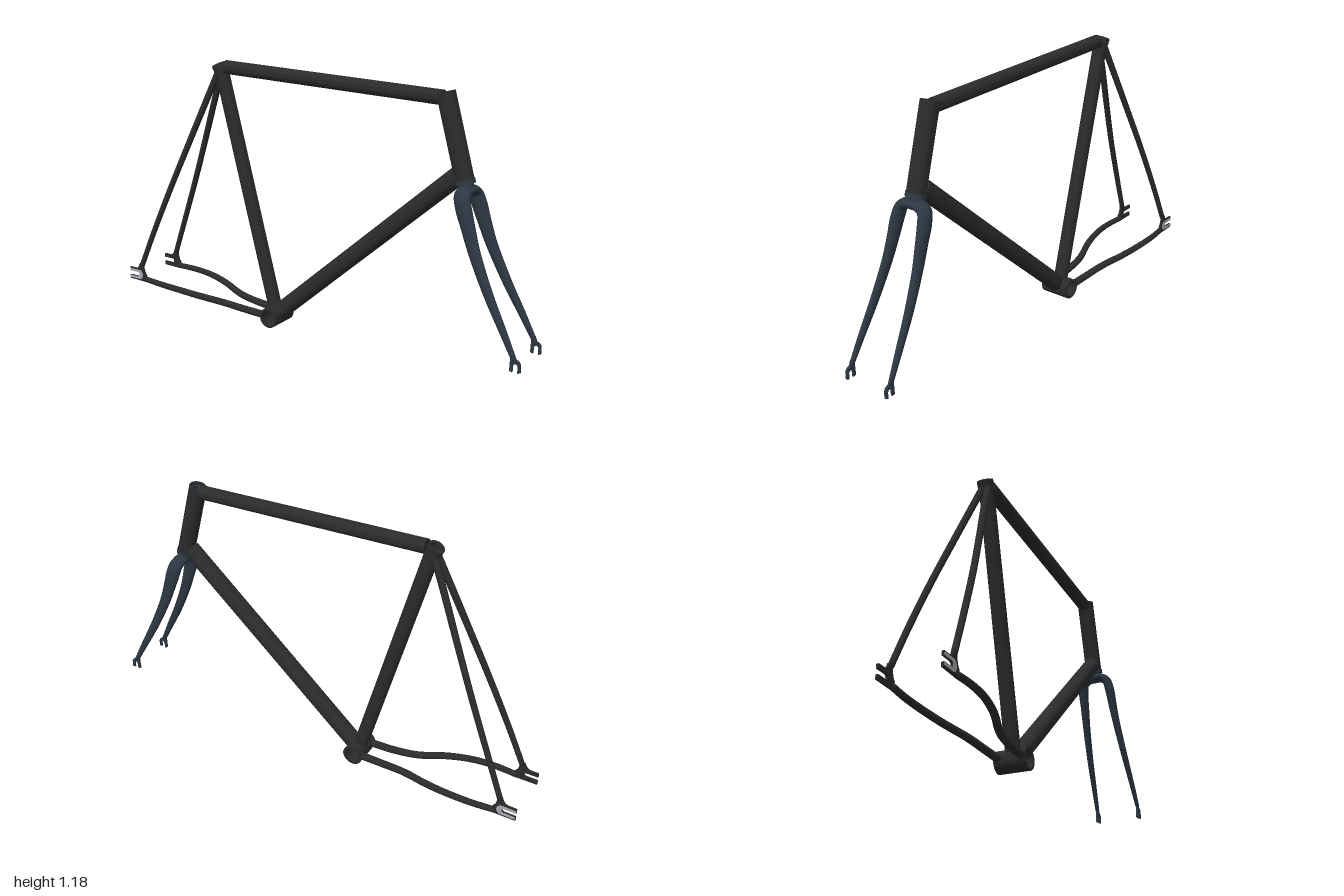
import * as THREE from 'three';
import { toCreasedNormals } from 'three/addons/utils/BufferGeometryUtils.js';

const V = (x, y, z = 0) => new THREE.Vector3(x, y, z);
const frameMat = new THREE.MeshStandardMaterial({ color: 0x2b2b2d, side: THREE.DoubleSide });
const forkMat = new THREE.MeshStandardMaterial({ color: 0x2d3743, side: THREE.DoubleSide });
const steelMat = new THREE.MeshStandardMaterial({ color: 0xa8a8ae });

export function createModel() {
  const model = new THREE.Group();

  const add = (name, geo, mat = frameMat) => {
    const mesh = new THREE.Mesh(geo, mat);
    mesh.name = name;
    model.add(mesh);
    return mesh;
  };

  // Hollow round tube from a to b; inner = 0 gives a solid bar
  const tube = (name, a, b, outer, inner = 0, mat = frameMat) => {
    const dir = b.clone().sub(a);
    const h = dir.length();
    const profile = [[inner, 0], [outer, 0], [outer, h], [inner, h]];
    if (inner) profile.push([inner, 0]);
    const lathe = new THREE.LatheGeometry(profile.map(p => new THREE.Vector2(...p)), 32);
    const mesh = add(name, toCreasedNormals(lathe, 0.6), mat);
    mesh.position.copy(a);
    mesh.quaternion.setFromUnitVectors(V(0, 1), dir.normalize());
  };

  // Sweep an ellipse along a curve; size(t) returns [radius along ref, other radius]
  const sweep = (points, ref, size, steps = 48, sides = 18) => {
    const curve = new THREE.CatmullRomCurve3(points);
    const pos = [], index = [];
    for (let i = 0; i <= steps; i++) {
      const t = i / steps, p = curve.getPoint(t), tan = curve.getTangent(t);
      const a = ref.clone().addScaledVector(tan, -ref.dot(tan)).normalize();
      const b = tan.clone().cross(a);
      const [ra, rb] = size(t);
      for (let j = 0; j < sides; j++) {
        const ang = j / sides * Math.PI * 2;
        const q = p.clone().addScaledVector(a, ra * Math.cos(ang)).addScaledVector(b, rb * Math.sin(ang));
        pos.push(q.x, q.y, q.z);
        if (i < steps) {
          const k = i * sides + j, n = i * sides + (j + 1) % sides;
          index.push(k, n, k + sides, n, n + sides, k + sides);
        }
      }
    }
    // end caps
    const last = steps * sides;
    for (let j = 1; j < sides - 1; j++) index.push(0, j + 1, j, last, last + j, last + j + 1);
    const geo = new THREE.BufferGeometry();
    geo.setAttribute('position', new THREE.Float32BufferAttribute(pos, 3));
    geo.setIndex(index);
    geo.computeVertexNormals();
    return geo;
  };

  // Flat plate in the xy plane, centred at depth z
  const plate = (name, shape, z, depth, mat) => {
    const geo = new THREE.ExtrudeGeometry(shape, { depth, bevelEnabled: false, curveSegments: 16 });
    add(name, geo, mat).position.z = z - depth / 2;
  };

  // Main tubes
  const bb = V(-0.214, 0.046);
  const seatTop = V(-0.503, 1.14);
  const headTop = V(0.596, 1.13), headLow = V(0.69, 0.795);
  const downEnd = V(0.662, 0.812);
  const from = (a, b, d) => a.clone().addScaledVector(b.clone().sub(a).normalize(), d);
  tube('bottomBracketShell', V(bb.x, bb.y, -0.067), V(bb.x, bb.y, 0.067), 0.046, 0.034);
  tube('seatTube', from(bb, seatTop, 0.035), seatTop, 0.031, 0.025);
  tube('downTube', from(bb, downEnd, 0.035), downEnd, 0.038);
  tube('topTube', V(-0.475, 1.147), V(0.585, 1.107), 0.03);
  tube('headTube', headLow, headTop, 0.038, 0.03);

  // Seat collar with an angled mouth
  const collar = V(-0.515, 1.157);
  tube('seatCollar', collar.clone().addScaledVector(V(-0.45, 0.89), -0.026), collar, 0.034, 0.025);

  // Steerer inside the head tube, and lower bearing ring
  tube('steerer', from(headLow, headTop, -0.03), from(headTop, headLow, 0.012), 0.0305, 0.022, forkMat);
  tube('lowerBearing', from(headLow, headTop, -0.014), from(headLow, headTop, 0.004), 0.041, 0, forkMat);

  // Fork: crown arch and both tapering blades in one sweep
  const blade = [
    V(0.703, 0.757, 0.03), V(0.708, 0.742, 0.057), V(0.722, 0.7, 0.068), V(0.745, 0.632, 0.072),
    V(0.778, 0.54, 0.078), V(0.845, 0.395, 0.089), V(0.915, 0.265, 0.098), V(0.968, 0.165, 0.104),
  ];
  const arch = [
    ...blade.slice().reverse().map(p => V(p.x, p.y, -p.z)), V(0.702, 0.758, 0), ...blade,
  ];
  const bladeSize = t => {
    const s = Math.max(0, (Math.abs(t - 0.5) * 2 - 0.4) / 0.6);
    return [THREE.MathUtils.lerp(0.033, 0.011, s), THREE.MathUtils.lerp(0.021, 0.009, s)];
  };
  add('fork', sweep(arch, V(1, 0, 0), bladeSize, 128, 20), forkMat);

  // Front dropout: hook open at the bottom
  const hook = new THREE.Shape();
  hook.moveTo(0.958, 0.18);
  hook.lineTo(0.956, 0.112);
  hook.lineTo(0.967, 0.108);
  hook.lineTo(0.968, 0.132);
  hook.absarc(0.979, 0.134, 0.01, Math.PI, 0, true);
  hook.lineTo(0.989, 0.108);
  hook.lineTo(1.0, 0.112);
  hook.lineTo(0.999, 0.143);
  hook.quadraticCurveTo(0.994, 0.157, 0.98, 0.16);
  hook.lineTo(0.972, 0.18);

  // Rear track end: plate with a slot open to the back
  const slot = (s, x0, y0, y1, x1) => {
    const r = (y1 - y0) / 2;
    s.lineTo(x0, y1);
    s.lineTo(x1, y1);
    s.absarc(x1, (y0 + y1) / 2, r, Math.PI / 2, -Math.PI / 2, true);
    s.lineTo(x0, y0);
  };
  const rear = new THREE.Shape();
  rear.moveTo(-1, 0.1);
  rear.lineTo(-0.9, 0.098);
  rear.lineTo(-0.898, 0.13);
  rear.quadraticCurveTo(-0.915, 0.145, -0.915, 0.185);
  rear.lineTo(-0.937, 0.185);
  rear.quadraticCurveTo(-0.942, 0.16, -0.965, 0.157);
  rear.lineTo(-1, 0.157);
  slot(rear, -1, 0.118, 0.14, -0.95);
  const pad = new THREE.Shape();
  pad.moveTo(-0.998, 0.106);
  pad.lineTo(-0.945, 0.106);
  pad.absarc(-0.94, 0.129, 0.023, -Math.PI / 2, Math.PI / 2, false);
  pad.lineTo(-0.998, 0.152);
  slot(pad, -0.998, 0.118, 0.14, -0.95);

  // Paired rear stays and dropouts
  for (const [side, s] of [['left', 1], ['right', -1]]) {
    const seatStay = [
      V(-0.505, 1.135, s * 0.012), V(-0.56, 1.015, s * 0.027), V(-0.65, 0.81, s * 0.056),
      V(-0.75, 0.583, s * 0.086), V(-0.85, 0.355, s * 0.108), V(-0.926, 0.175, s * 0.121),
    ];
    add(side + 'SeatStay', sweep(seatStay, V(1, 0, 0), t => Array(2).fill(0.015 - 0.003 * t)));
    const chainStay = [
      V(-0.25, 0.05, s * 0.05), V(-0.35, 0.054, s * 0.053), V(-0.47, 0.066, s * 0.066),
      V(-0.6, 0.088, s * 0.106), V(-0.71, 0.102, s * 0.126), V(-0.81, 0.108, s * 0.13),
      V(-0.91, 0.111, s * 0.122),
    ];
    add(side + 'ChainStay', sweep(chainStay, V(0, 1, 0), t => Array(2).fill(0.017 - 0.004 * t)));
    plate(side + 'RearDropout', rear, s * 0.123, 0.01, frameMat);
    plate(side + 'AxlePad', pad, s * 0.1285, 0.003, steelMat);
    plate(side + 'FrontDropout', hook, s * 0.104, 0.01, forkMat);
  }

  return model;
}
